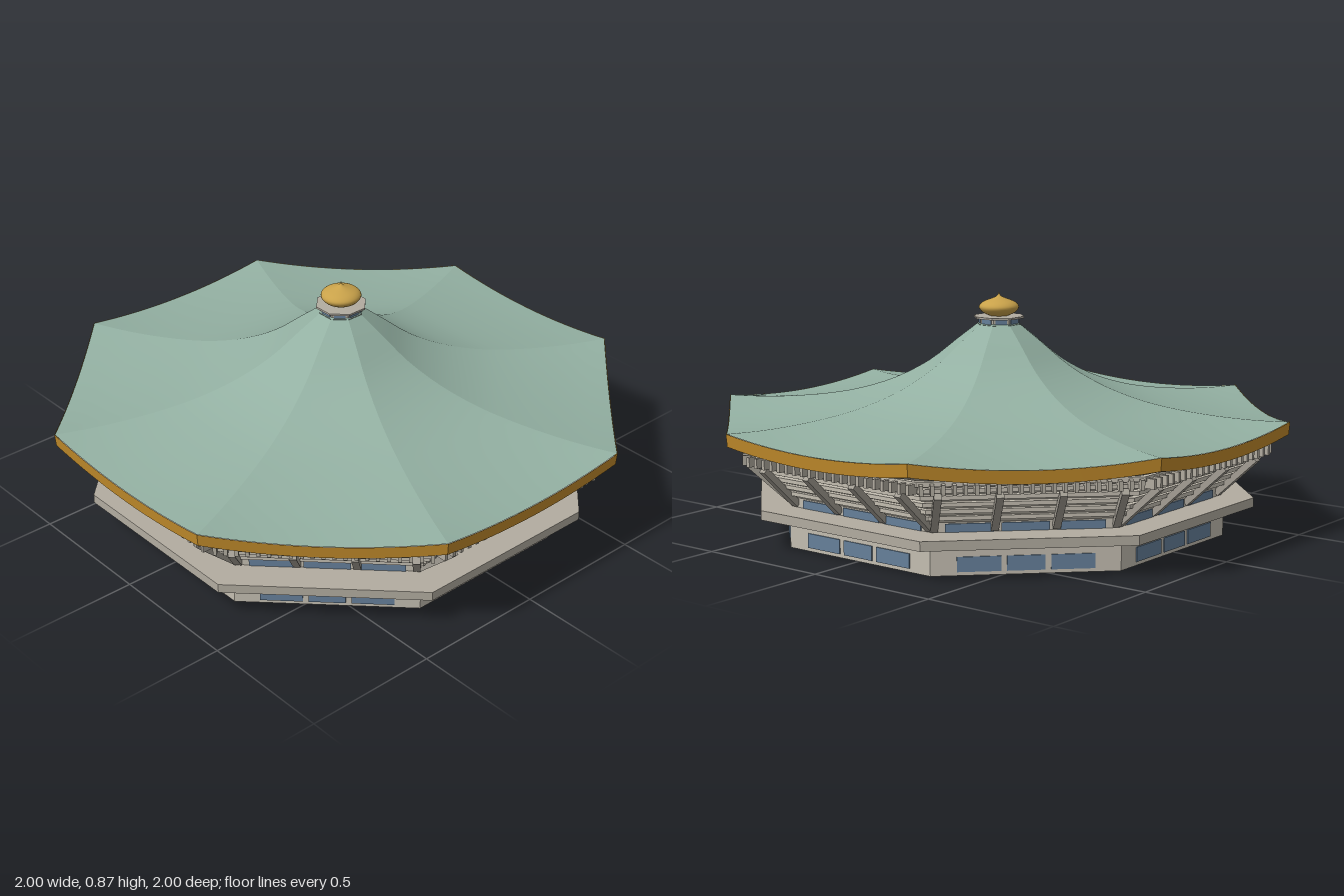
import * as THREE from 'three';
import { mergeGeometries } from 'three/addons/utils/BufferGeometryUtils.js';

const SIDES = 8;
const TAN = Math.tan(Math.PI / SIDES);
const COS = Math.cos(Math.PI / SIDES);

function material(name, color, side = THREE.FrontSide) {
  const m = new THREE.MeshStandardMaterial({ color, side });
  m.name = name;
  return m;
}

// Flat-sided octagonal solid from a profile of [apothem, y], outer side going up
function octagon(profile) {
  const pts = profile.map(([r, y]) => new THREE.Vector2(r / COS, y));
  const g = new THREE.LatheGeometry(pts, SIDES, Math.PI / SIDES).toNonIndexed();
  g.computeVertexNormals();
  return g;
}

// Octagonal ring with a rectangular section
function ring(inner, outer, y0, y1) {
  return octagon([[inner, y0], [outer, y0], [outer, y1], [inner, y1], [inner, y0]]);
}

// Turn one side's geometry into all eight
function allSides(geometry) {
  const copies = [];
  for (let i = 0; i < SIDES; i++) copies.push(geometry.clone().rotateY(i * Math.PI * 2 / SIDES));
  return mergeGeometries(copies);
}

// Smooth patch on one side: at(s, t) gives [apothem, y]; s runs corner to corner, -1 to 1
function patch(ns, nt, at) {
  const pos = [], index = [];
  for (let j = 0; j <= nt; j++) {
    for (let i = 0; i <= ns; i++) {
      const s = i / ns * 2 - 1;
      const [r, y] = at(s, j / nt);
      pos.push(s * r * TAN, y, r);
    }
  }
  for (let j = 0; j < nt; j++) {
    for (let i = 0; i < ns; i++) {
      const a = j * (ns + 1) + i, b = a + ns + 1;
      index.push(a, b, b + 1, a, b + 1, a + 1);
    }
  }
  const g = new THREE.BufferGeometry();
  g.setAttribute('position', new THREE.Float32BufferAttribute(pos, 3));
  g.setIndex(index);
  g.computeVertexNormals();
  return g;
}

function box(w, h, d, x, y, z) {
  return new THREE.BoxGeometry(w, h, d).translate(x, y, z);
}

export function createModel() {
  const model = new THREE.Group();
  model.name = 'octagonalHall';

  const roofGreen = material('roofGreen', 0x93b0a2, THREE.DoubleSide);
  const eaveGold = material('eaveGold', 0xc08a2a, THREE.DoubleSide);
  const finialGold = material('finialGold', 0xc9a24a);
  const wallStone = material('wallStone', 0xc4beb1, THREE.DoubleSide);
  const trimStone = material('trimStone', 0xb2aca0, THREE.DoubleSide);
  const timber = material('timber', 0xa39e94);
  const glass = material('glass', 0x66809a);
  const dark = material('darkTrim', 0x5c5f5c);

  const add = (name, geometry, mat) => {
    const mesh = new THREE.Mesh(geometry, mat);
    mesh.name = name;
    model.add(mesh);
    return mesh;
  };

  // Lower storey and ledge
  add('lowerWall', ring(0.77, 0.783, 0, 0.115), wallStone);
  add('ledge', ring(0.765, 0.885, 0.112, 0.146), trimStone);

  // Upper storey: short upright wall, then flaring out to the eaves
  add('upperWall', octagon([[0.765, 0.14], [0.765, 0.18], [0.89, 0.348]]), wallStone);

  // Window plates, three per side on both storeys
  const lower = [[-0.16, 0.15], [0, 0.13], [0.16, 0.15]];
  add('lowerWindows', allSides(mergeGeometries(
    lower.map(([x, w]) => box(w, 0.052, 0.006, x, 0.039, 0.784)))), glass);
  const upper = [[-0.19, 0.165], [0, 0.165], [0.19, 0.165]];
  add('upperWindows', allSides(mergeGeometries(
    upper.map(([x, w]) => box(w, 0.029, 0.006, x, 0.161, 0.767)))), glass);

  // Stepped rails on the flaring wall
  for (let i = 0; i < 5; i++) {
    const y = 0.195 + i * 0.029;
    const r = 0.79 + i * 0.026;
    add('rail', ring(r - 0.012, r + 0.012, y, y + 0.014), wallStone);
  }

  // Slanting struts, four per side
  const r0 = 0.765, y0 = 0.158, r1 = 0.925, y1 = 0.305;
  const length = Math.hypot(r1 - r0, y1 - y0);
  const struts = [-0.31, -0.105, 0.105, 0.31].map((x) =>
    box(0.026, 0.024, length, 0, 0, 0)
      .rotateX(-Math.atan2(y1 - y0, r1 - r0))
      .translate(x, (y0 + y1) / 2, (r0 + r1) / 2));
  add('struts', allSides(mergeGeometries(struts)), timber);

  // Rafter ends beneath the eaves
  const rafters = [];
  for (let i = -10; i <= 10; i++) rafters.push(box(0.013, 0.035, 0.07, i * 0.0365, 0.328, 0.91));
  add('rafters', allSides(mergeGeometries(rafters)), trimStone);
  add('eaveBeam', ring(0.88, 0.915, 0.335, 0.352), wallStone);

  // Sweeping roof with lifted corners
  const sweep = new THREE.SplineCurve([
    [0.07, 0.752], [0.15, 0.685], [0.25, 0.6], [0.37, 0.53], [0.5, 0.48],
    [0.62, 0.45], [0.75, 0.427], [0.88, 0.41], [0.998, 0.4],
  ].map(([r, y]) => new THREE.Vector2(r, y)));
  const lift = (s, r) => 0.031 * s * s * r * r * r;
  add('roof', allSides(patch(16, 24, (s, t) => {
    const p = sweep.getPoint(t);
    return [p.x, p.y + lift(s, p.x)];
  })), roofGreen);

  // Gold eave band and the soffit behind it
  add('eaveBand', allSides(patch(16, 1, (s, t) => [1 - t * 0.004, 0.4 + lift(s, 1) - t * 0.046])), eaveGold);
  add('soffit', allSides(patch(16, 1, (s, t) =>
    t === 0 ? [0.996, 0.354 + lift(s, 1)] : [0.89, 0.35])), trimStone);

  // Lantern drum, its windows and cap
  add('lanternDrum', octagon([[0, 0.735], [0.07, 0.735], [0.07, 0.772], [0, 0.772]]), trimStone);
  add('lanternWindows', allSides(box(0.042, 0.018, 0.004, 0, 0.76, 0.071)), glass);
  add('lanternSill', ring(0.06, 0.076, 0.742, 0.748), dark);
  add('lanternCap', octagon([[0, 0.77], [0.088, 0.77], [0.088, 0.777], [0, 0.779]]), trimStone);

  // Onion-shaped finial
  const onion = new THREE.SplineCurve([
    [0.03, 0.776], [0.06, 0.79], [0.074, 0.81], [0.06, 0.828], [0.025, 0.842], [0.007, 0.851], [0, 0.866],
  ].map(([r, y]) => new THREE.Vector2(r, y)));
  const onionPoints = onion.getPoints(24);
  onionPoints.forEach((p) => { p.x = Math.max(p.x, 0); });
  add('finial', new THREE.LatheGeometry(onionPoints, 32), finialGold);

  return model;
}
